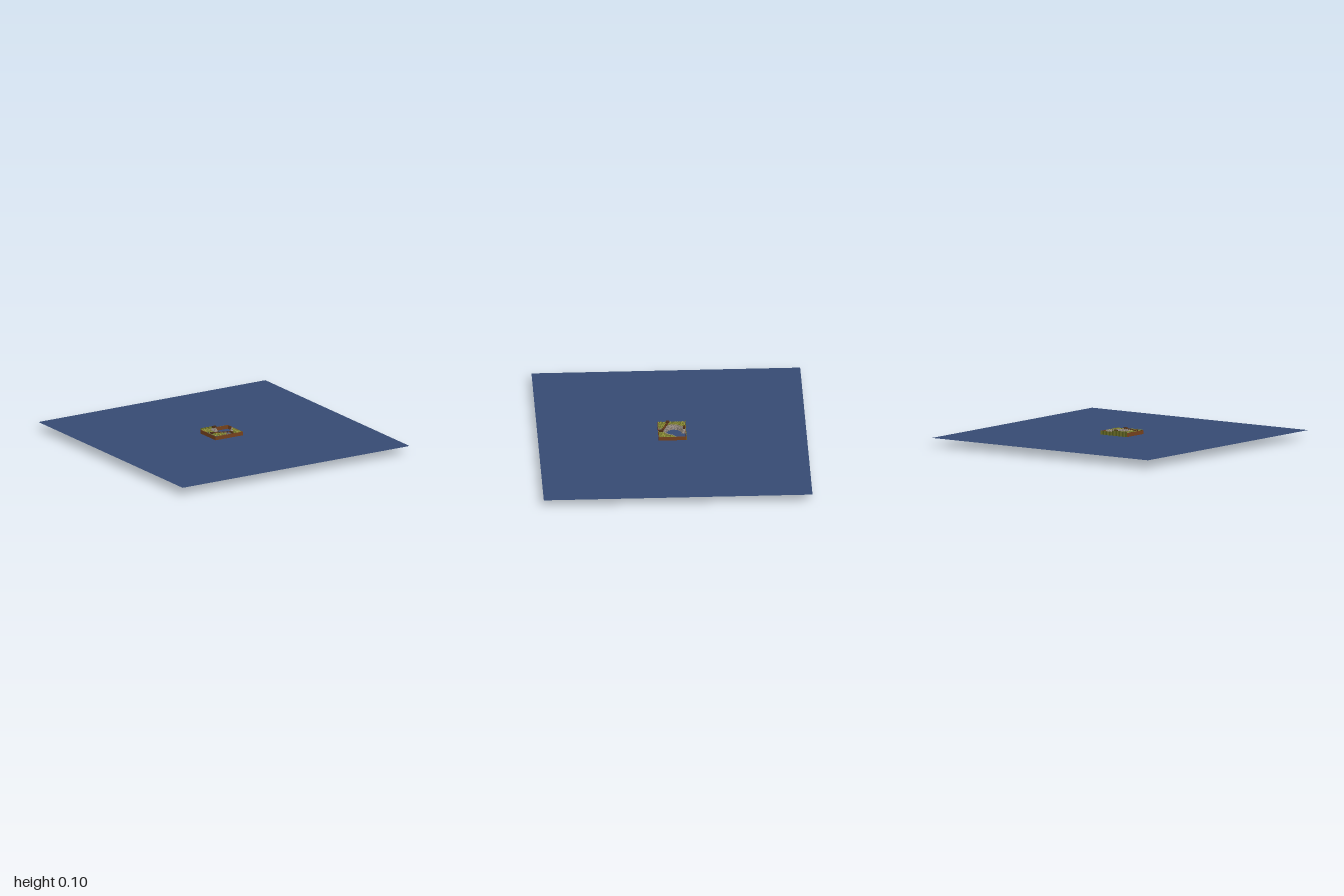
import * as THREE from 'three';

const X0 = -0.14, X1 = 0.1, Z = 0.103, CX = (X0 + X1) / 2, W = X1 - X0;
const WALL_TOP = 0.088, WATER = 0.06;

// repeatable pseudo-random value for a pair of numbers
function hash(a, b) {
  const s = Math.sin(a * 127.1 + b * 311.7) * 43758.5453;
  return s - Math.floor(s);
}

// signed distance to the shore: round pond opening into the back right corner
function shore(x, z) {
  const pond = Math.hypot(x + 0.01, z + 0.015) - 0.062;
  const inlet = Math.max(-(x + 0.01), (z + 1.2 * (x - 0.05)) / 1.56);
  return Math.min(pond, inlet);
}

function groundHeight(x, z) {
  const rise = THREE.MathUtils.smoothstep(shore(x, z), -0.022, 0.012);
  const rough = (hash(Math.round(x * 400), Math.round(z * 400)) - 0.5) * 0.006;
  const hill = x < 0.02 ? 0.004 : 0;
  return THREE.MathUtils.lerp(0.03, 0.087 + hill, rise) + rough * rise;
}

export function createModel() {
  const model = new THREE.Group();
  const mat = (color) => new THREE.MeshStandardMaterial({ color, flatShading: true, side: THREE.DoubleSide });
  const brown = mat(0x74401c), darkWood = mat(0x4a2c16), olive = mat(0x70722a);
  const lightGrass = mat(0x9a9a3c), darkGrass = mat(0x565c1e), stone = mat(0x958a80), darkStone = mat(0x6e665e);

  function add(name, geometry, material, x = 0, y = 0, z = 0, turn = 0) {
    const mesh = new THREE.Mesh(geometry, material);
    mesh.name = name;
    mesh.position.set(x, y, z);
    mesh.rotation.y = turn;
    model.add(mesh);
    return mesh;
  }
  const box = (w, h, d) => new THREE.BoxGeometry(w, h, d);

  // wide sheet of water
  add('waterSheet', new THREE.PlaneGeometry(2, 2).rotateX(-Math.PI / 2), mat(0x364a72), 0, WATER, 0);

  // thin open frame around the garden
  const t = 0.003;
  for (const s of [-1, 1]) {
    add(s > 0 ? 'frontWall' : 'backWall', box(W, WALL_TOP, t), brown, CX, WALL_TOP / 2, s * (Z - t / 2));
    add(s > 0 ? 'rightWall' : 'leftWall', box(t, WALL_TOP, 2 * Z), brown, s > 0 ? X1 - t / 2 : X0 + t / 2, WALL_TOP / 2, 0);
  }

  // upright slats on the back wall, taller on the land side
  const slats = 16;
  for (let i = 0; i < slats; i++) {
    const x = X0 + (i + 0.5) * W / slats;
    const top = x < 0 ? 0.1 : WALL_TOP;
    add('backSlat', box(W / slats, top - 0.015, 0.003), i % 2 ? olive : darkGrass, x, (top + 0.015) / 2, -Z - 0.001);
  }

  // ground: one height field, its faces sorted into grass and stone
  const nx = 56, nz = 48;
  const ground = new THREE.PlaneGeometry(W - 2 * t, 2 * (Z - t), nx, nz).rotateX(-Math.PI / 2).translate(CX, 0, 0);
  const p = ground.attributes.position;
  for (let i = 0; i < p.count; i++) p.setY(i, groundHeight(p.getX(i), p.getZ(i)));
  const flat = ground.toNonIndexed().attributes.position;
  const kinds = {
    lightGrass: [lightGrass, []], grass: [olive, []], darkGrass: [darkGrass, []],
    stoneBank: [stone, []], darkStoneBank: [darkStone, []],
  };
  for (let i = 0; i < flat.count; i += 3) {
    const x = (flat.getX(i) + flat.getX(i + 1) + flat.getX(i + 2)) / 3;
    const z = (flat.getZ(i) + flat.getZ(i + 1) + flat.getZ(i + 2)) / 3;
    const r = hash(i, 7);
    const bank = shore(x, z) < 0.014 + 0.01 * hash(i, 3);
    const kind = bank ? (r < 0.65 ? 'stoneBank' : 'darkStoneBank')
      : r < 0.33 ? 'lightGrass' : r < 0.75 ? 'grass' : 'darkGrass';
    for (let k = i; k < i + 3; k++) kinds[kind][1].push(flat.getX(k), flat.getY(k), flat.getZ(k));
  }
  for (const [name, [material, points]] of Object.entries(kinds)) {
    const g = new THREE.BufferGeometry();
    g.setAttribute('position', new THREE.Float32BufferAttribute(points, 3));
    g.computeVertexNormals();
    add(name, g, material);
  }

  // pebbles along the bank and grass tufts on the land
  const pebble = new THREE.IcosahedronGeometry(0.004, 0);
  const tuft = new THREE.ConeGeometry(0.003, 0.009, 4);
  for (let i = 0; i < 420; i++) {
    const x = X0 + 0.008 + hash(i, 1) * (W - 0.016), z = (hash(i, 2) * 2 - 1) * (Z - 0.008);
    const s = shore(x, z);
    if (s < 0.002) continue;
    const y = groundHeight(x, z);
    if (s < 0.018) add('pebble', pebble, i % 3 ? stone : darkStone, x, y, z, i).scale.y = 0.7;
    else if (i % 2) add('grassTuft', tuft, i % 4 === 1 ? olive : lightGrass, x, y + 0.003, z, i);
  }

  // plank path and small wooden blocks
  const from = new THREE.Vector2(-0.125, 0.022), to = new THREE.Vector2(0.005, 0.072);
  const turn = -Math.atan2(to.y - from.y, to.x - from.x);
  for (let i = 0; i < 9; i++) {
    const c = from.clone().lerp(to, i / 8);
    add('pathPlank', box(0.013, 0.004, 0.017), i % 2 ? darkWood : brown, c.x, 0.096, c.y, turn);
  }
  add('frontBlock', box(0.016, 0.012, 0.034), darkWood, 0.011, 0.094, 0.082);
  add('leftBlock', box(0.022, 0.012, 0.02), darkWood, -0.126, 0.095, 0.03, turn);
  add('backBlock', box(0.03, 0.012, 0.014), darkWood, -0.03, 0.098, -0.09);

  return model;
}
